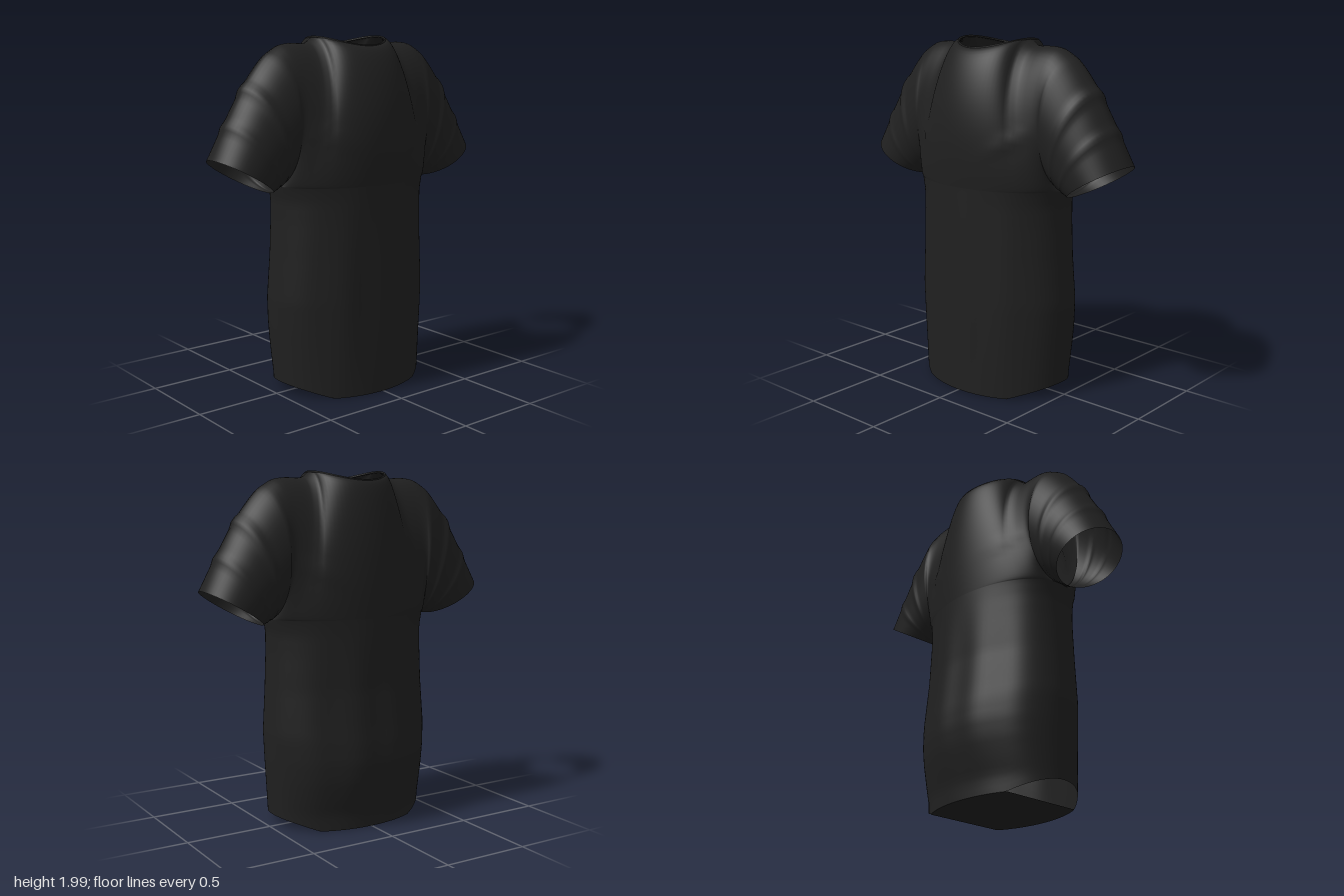
import * as THREE from 'three';
import { mergeGeometries, mergeVertices } from 'three/addons/utils/BufferGeometryUtils.js';

const { lerp, clamp } = THREE.MathUtils;
const CHEST = 1.2;   // height of the armpits
const COLS = 48, ROWS = 28;

// Linear lookup in a list of [height, value] pairs
function table(list, y) {
  for (let i = 1; i < list.length; i++) {
    const [y0, a] = list[i - 1], [y1, b] = list[i];
    if (y <= y1) return lerp(a, b, clamp((y - y0) / (y1 - y0), 0, 1));
  }
  return list[list.length - 1][1];
}
const halfWidth = [[0, 0.475], [0.1, 0.48], [0.4, 0.498], [0.55, 0.505], [0.8, 0.49], [1, 0.482], [1.12, 0.482], [1.2, 0.5]];
const frontDepth = [[0, 0.345], [1.2, 0.347]];
const backDepth = [[0, 0.293], [0.1, 0.295], [0.2, 0.322], [0.3, 0.345], [0.4, 0.355], [0.5, 0.35], [0.6, 0.338], [0.8, 0.317], [1.2, 0.305]];

const hump = (x, centre, width) => Math.exp(-(((x - centre) / width) ** 2));
const hemHeight = x => 0.012 + 0.068 * clamp((Math.abs(x) - 0.3) / 0.18, 0, 1);

// Point on the half ring of the torso; u runs -1..1 across, side is +1 front, -1 back
function ring(u, y, side) {
  const a = u * Math.PI / 2;
  const fold = 0.006 * Math.sin(u * 17 + side) * Math.cos(a) * Math.sin(Math.PI * clamp(y / CHEST, 0, 1));
  const depth = table(side > 0 ? frontDepth : backDepth, y) + fold;
  return new THREE.Vector3(table(halfWidth, y) * Math.sin(a), y, side * depth * Math.cos(a));
}

function lowerTorso(u, v, side) {
  const hem = hemHeight(0.48 * Math.sin(u * Math.PI / 2));
  return ring(u, lerp(hem, CHEST, v), side);
}

// Armhole on the +x side: s = 0 armpit, 1 shoulder tip
function armhole(s, side) {
  const t = (1 - Math.cos(Math.PI * s)) / 2, bow = Math.sin(Math.PI * s);
  return new THREE.Vector3(lerp(0.5, 0.53, t) - 0.06 * bow, lerp(CHEST, 1.92, t), side * 0.205 * bow);
}

// Upper edge: shoulder seam outside, neckline in the middle
const seam = new THREE.CatmullRomCurve3([
  [0.225, 2, 0], [0.28, 1.968, 0], [0.38, 1.968, 0], [0.46, 1.957, 0], [0.53, 1.92, 0],
].map(p => new THREE.Vector3(...p)));
function neckline(a) {   // a = 0 front centre
  return new THREE.Vector3(0.225 * Math.sin(a), 2 - 0.048 * Math.cos(a) ** 2, 0.22 * Math.cos(a) - 0.01 * Math.cos(a) ** 2);
}
function topEdge(u, side) {
  const m = Math.abs(u);
  const p = m <= 0.5 ? neckline(m * Math.PI) : seam.getPoint((m - 0.5) * 2);
  if (m <= 0.5 && side < 0) p.z = -p.z - 0.02 * Math.cos(m * Math.PI) ** 2;
  p.x *= Math.sign(u);
  return p;
}

// Chest and shoulders, blended between chest ring, armholes and upper edge
function upperTorso(u, s, side) {
  const t = (1 - Math.cos(Math.PI * s)) / 2;
  const round = 1 - Math.sqrt(Math.max(0, 1 - t * t));
  const b = ring(u, CHEST, side), top = topEdge(u, side);
  const p = new THREE.Vector3(lerp(b.x, top.x, t), lerp(b.y, top.y, t), lerp(b.z, top.z, round));
  const w = Math.abs(u) ** 3, arm = armhole(s, side);
  p.x += w * Math.sign(u) * (arm.x - lerp(0.5, 0.53, t));
  p.y += w * (arm.y - lerp(CHEST, 1.92, t));
  p.z += w * arm.z;
  // chest fullness and the folds running in from the armpits
  const swell = (side > 0 ? 0.028 : 0.008) * Math.sin(Math.PI * t);
  const fold = 0.012 * hump(p.y, 1.4 + 0.45 * (Math.abs(p.x) - 0.15), 0.035) * hump(Math.abs(p.x), 0.32, 0.1);
  p.z += side * (1 - u * u) * (swell + fold * Math.sin(Math.PI * s));
  return p;
}

// Sleeve on the +x side: s = 0..1 up the front, 1..2 down the back; q runs to the cuff
function sleeve(s, q) {
  const side = s <= 1 ? 1 : -1, k = s <= 1 ? s : 2 - s;
  const c = -Math.cos(Math.PI * k), z = side * Math.sin(Math.PI * k);
  const cuff = new THREE.Vector3(0.718 + 0.168 * c, 1.27 + 0.1 * c, 0.196 * z);
  const p = armhole(k, side).lerp(cuff, q);
  const puff = 0.032 * Math.sin(Math.PI * q ** 0.7) * (1 + c) / 2;
  const fold = (0.012 * hump(q, 0.36, 0.05) + 0.008 * hump(q, 0.7, 0.04)) * (0.6 + 0.4 * c);
  const out = puff + fold;
  p.x += 0.86 * c * out;
  p.y += 0.5 * c * out;
  p.z += z * fold;
  return p;
}

// Grid surface from a function of two parameters in 0..1
function grid(fn, nu, nv, flip) {
  const pos = [], idx = [];
  for (let j = 0; j <= nv; j++)
    for (let i = 0; i <= nu; i++) pos.push(...fn(i / nu, j / nv).toArray());
  for (let j = 0; j < nv; j++)
    for (let i = 0; i < nu; i++) {
      const a = j * (nu + 1) + i, b = a + 1, c = a + nu + 1, d = c + 1;
      if (flip) idx.push(a, d, b, a, c, d);
      else idx.push(a, b, d, a, d, c);
    }
  const g = new THREE.BufferGeometry();
  g.setAttribute('position', new THREE.Float32BufferAttribute(pos, 3));
  g.setIndex(idx);
  return g;
}

export function createModel() {
  const group = new THREE.Group();
  group.name = 'tShirt';
  const cloth = new THREE.MeshStandardMaterial({ color: 0x202020, side: THREE.DoubleSide });
  cloth.name = 'black cloth';
  const add = (name, geometry) => {
    const mesh = new THREE.Mesh(geometry, cloth);
    mesh.name = name;
    group.add(mesh);
  };

  // Torso and sleeves, welded so the shading runs smoothly over the seams
  const parts = [];
  for (const side of [1, -1]) {
    parts.push(grid((i, j) => lowerTorso(i * 2 - 1, j, side), COLS, 36, side < 0));
    parts.push(grid((i, j) => upperTorso(i * 2 - 1, j, side), COLS, ROWS, side < 0));
    parts.push(grid((i, j) => {
      const p = sleeve(i * 2, j);
      p.x *= side;
      return p;
    }, ROWS * 2, 30, side > 0));
  }
  const shirt = mergeVertices(mergeGeometries(parts), 1e-4);
  shirt.computeVertexNormals();
  add('shirtBody', shirt);

  // Thin rolled edge of the neckline
  const neck = [];
  for (let i = 0; i < 32; i++) {
    const f = i / 8;   // four quarters around the neck
    const u = f <= 1 ? f / 2 : f <= 3 ? (2 - f) / 2 : (f - 4) / 2;
    neck.push(topEdge(u, f <= 1 || f >= 3 ? 1 : -1));
  }
  add('collarEdge', new THREE.TubeGeometry(new THREE.CatmullRomCurve3(neck, true), 64, 0.006, 6, true));

  // Flat panel closing the bottom between front and back hem
  const outline = new THREE.Shape();
  const corner = Math.asin(0.3 / 0.475) / (Math.PI / 2);
  for (const side of [1, -1])
    for (let i = 0; i <= 16; i++) {
      const p = ring(side * lerp(-corner, corner, i / 16), 0.012, side);
      if (side > 0 && i === 0) outline.moveTo(p.x, p.z);
      else outline.lineTo(p.x, p.z);
    }
  const panel = new THREE.ShapeGeometry(outline);
  panel.rotateX(Math.PI / 2);
  panel.translate(0, 0.012, 0);
  add('bottomPanel', panel);

  // Rest on the ground
  group.position.y = -0.006;
  return group;
}
